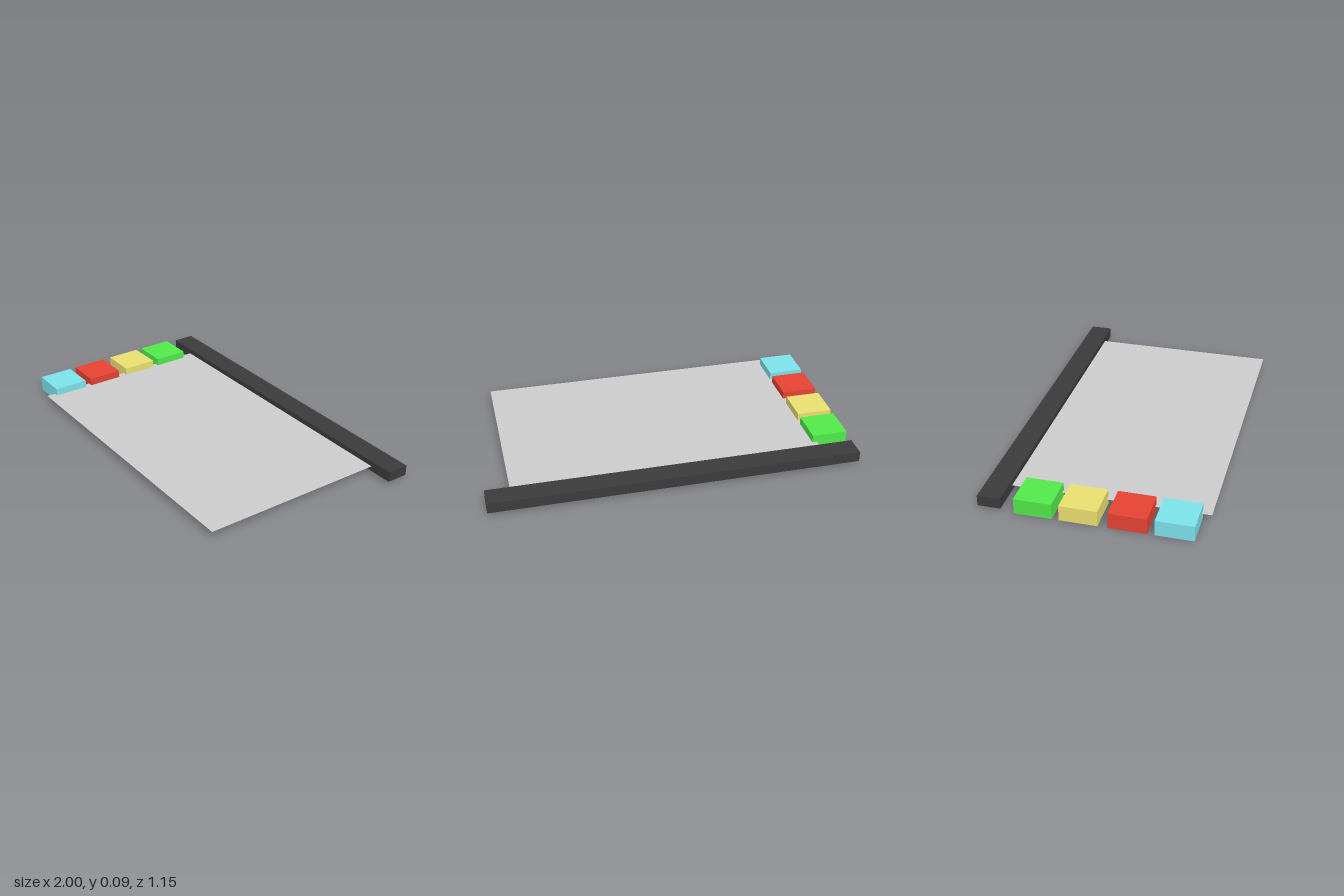
import * as THREE from 'three';

export function createModel() {
  const group = new THREE.Group();

  const add = (name, geometry, color, x, y, z, side = THREE.FrontSide) => {
    const material = new THREE.MeshStandardMaterial({ color, side });
    const mesh = new THREE.Mesh(geometry, material);
    mesh.name = name;
    mesh.position.set(x, y, z);
    group.add(mesh);
    return mesh;
  };

  // Thin flat sheet, its back edge held inside the bar
  const sheet = new THREE.PlaneGeometry(1.7, 1.09).rotateX(-Math.PI / 2);
  add('sheet', sheet, 0xcccccc, 0.018, 0.043, 0.03, THREE.DoubleSide);

  // Dark bar along the back edge
  add('backBar', new THREE.BoxGeometry(2, 0.057, 0.121), 0x3b3b3b, 0, 0.0435, -0.5175);

  // Row of coloured blocks along the right edge, front to back
  const block = new THREE.BoxGeometry(0.197, 0.085, 0.197);
  const blocks = [
    ['cyanBlock', 0x7be2e9, 0.426],
    ['redBlock', 0xe64234, 0.192],
    ['yellowBlock', 0xe8df6f, -0.056],
    ['greenBlock', 0x51e84a, -0.289],
  ];
  for (const [name, color, z] of blocks) add(name, block, color, -0.9015, 0.0425, z);

  return group;
}
